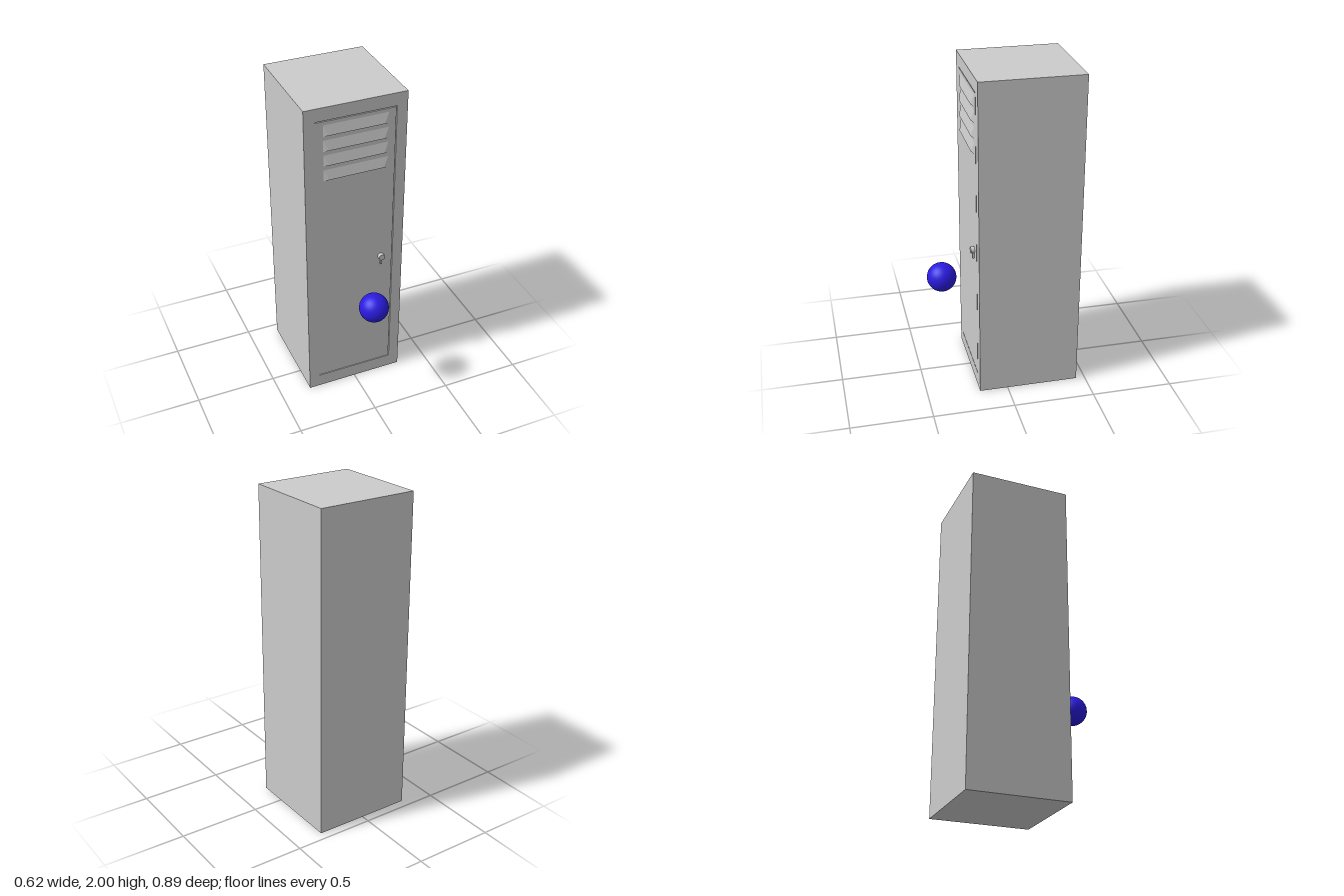
import * as THREE from 'three';

const grey = new THREE.MeshStandardMaterial({ color: 0xcccccc, flatShading: true });
const smoothGrey = new THREE.MeshStandardMaterial({ color: 0xcccccc });
const blue = new THREE.MeshStandardMaterial({ color: 0x2a1be0 });

const FRONT = 0.175, BACK = -0.445, HALF = 0.31, HEIGHT = 2, SKIN = 0.012;

function add(parent, name, geometry, material, x = 0, y = 0, z = 0) {
  const mesh = new THREE.Mesh(geometry, material);
  mesh.name = name;
  mesh.position.set(x, y, z);
  parent.add(mesh);
  return mesh;
}

const polygon = (points, Type = THREE.Shape) => new Type(points.map(([x, y]) => new THREE.Vector2(x, y)));

// Pressed vent: a rectangular base rising to a shorter lip near its lower edge
function louverGeometry() {
  const w = 0.197, lip = 0.167, top = 0.07, out = 0.0135;
  const a = [-w, 0, 0], b = [w, 0, 0], c = [w, top, 0], d = [-w, top, 0];
  const e = [-lip, 0.008, out], f = [lip, 0.008, out];
  const triangles = [a, b, f, a, f, e, e, f, c, e, c, d, b, c, f, a, e, d];
  const geometry = new THREE.BufferGeometry();
  geometry.setAttribute('position', new THREE.Float32BufferAttribute(triangles.flat(), 3));
  geometry.computeVertexNormals();
  return geometry;
}

export function createModel() {
  const model = new THREE.Group();
  model.name = 'locker';

  // Cabinet body behind the front skin
  const depth = FRONT - SKIN - BACK;
  add(model, 'cabinetBody', new THREE.BoxGeometry(HALF * 2, HEIGHT, depth), grey, 0, HEIGHT / 2, BACK + depth / 2);

  // Front skin, cut by the narrow gap around the top, free side and bottom of the door
  const front = polygon([[-HALF, 0], [HALF, 0], [HALF, HEIGHT], [-HALF, HEIGHT]]);
  const s = 0.245, lo = 0.085, hi = 1.92, gap = 0.005;
  front.holes.push(polygon([
    [-s, lo], [s, lo], [s, hi], [-s, hi],
    [-s, hi - gap], [s - gap, hi - gap], [s - gap, lo + gap], [-s, lo + gap],
  ], THREE.Path));
  add(model, 'frontAndDoor', new THREE.ExtrudeGeometry(front, { depth: SKIN, bevelEnabled: false }), grey, 0, 0, FRONT - SKIN);

  // Four vents near the top of the door
  const louver = louverGeometry();
  for (let i = 0; i < 4; i++) add(model, 'louver', louver, grey, 0, 1.823 - i * 0.094, FRONT);

  // Round lock with a small lever below it
  const lock = new THREE.Group();
  lock.name = 'lock';
  lock.position.set(0.167, 0.92, FRONT);
  model.add(lock);
  const knob = new THREE.CylinderGeometry(0.02, 0.02, 0.023, 24).rotateX(Math.PI / 2);
  add(lock, 'lockKnob', knob, smoothGrey, 0, 0, 0.0115);
  add(lock, 'lockLever', new THREE.BoxGeometry(0.009, 0.045, 0.012), grey, 0, -0.0335, 0.006);

  // Blue ball in front of the door
  add(model, 'ball', new THREE.SphereGeometry(0.09, 32, 24), blue, 0.045, 0.69, 0.355);

  return model;
}
